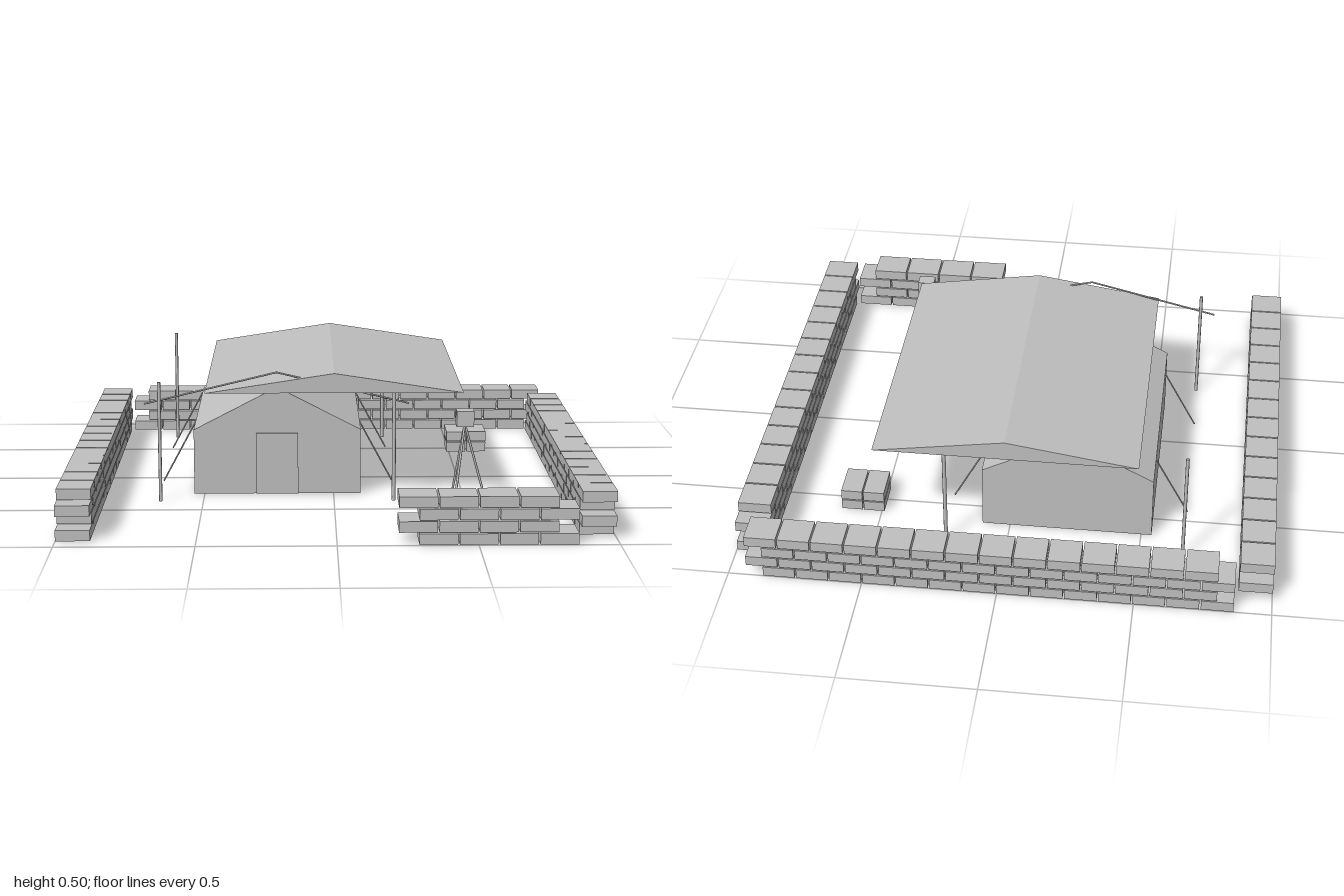
import * as THREE from 'three';

const grey = new THREE.MeshStandardMaterial({ color: 0xc0c0c0 });
grey.name = 'plain grey';

const V = (x, y, z) => new THREE.Vector3(x, y, z);

function add(parent, name, geometry) {
  const mesh = new THREE.Mesh(geometry, grey);
  mesh.name = name;
  parent.add(mesh);
  return mesh;
}

function box(parent, name, min, max) {
  const mesh = add(parent, name, new THREE.BoxGeometry(max[0] - min[0], max[1] - min[1], max[2] - min[2]));
  mesh.position.set((min[0] + max[0]) / 2, (min[1] + max[1]) / 2, (min[2] + max[2]) / 2);
}

// Closed prism: outline in x and y, running from z0 to z1
function prism(parent, name, outline, z0, z1) {
  const shape = new THREE.Shape(outline.map(([x, y]) => new THREE.Vector2(x, y)));
  const geometry = new THREE.ExtrudeGeometry(shape, { depth: z1 - z0, bevelEnabled: false });
  add(parent, name, geometry.translate(0, 0, z0));
}

// Straight round bar between two points
function rod(parent, name, a, b, radius) {
  const mesh = add(parent, name, new THREE.CylinderGeometry(radius, radius, a.distanceTo(b), 8));
  mesh.position.copy(a).lerp(b, 0.5);
  mesh.quaternion.setFromUnitVectors(V(0, 1, 0), b.clone().sub(a).normalize());
}

const ROW = 0.045, BRICK_HEIGHT = 0.04, GAP = 0.006;

// Four staggered courses; lower courses 0 and 2 start at evenStart, 1 and 3 at oddStart
function wall(parent, name, axis, evenStart, oddStart, count, pitch, side0, side1) {
  const group = new THREE.Group();
  group.name = name;
  for (let row = 0; row < 4; row++) {
    const start = row % 2 ? oddStart : evenStart;
    const y0 = row * ROW, y1 = y0 + BRICK_HEIGHT;
    for (let i = 0; i < count; i++) {
      const a = start + i * pitch, b = a + pitch - GAP;
      if (axis === 'x') box(group, 'brick', [a, y0, side0], [b, y1, side1]);
      else box(group, 'brick', [side0, y0, a], [side1, y1, b]);
    }
  }
  parent.add(group);
}

export function createModel() {
  const model = new THREE.Group();
  model.name = 'walledCamp';

  // Brick walls around the yard
  wall(model, 'rightSideWall', 'z', -0.87, -0.935, 14, 0.1289, -1, -0.876);
  wall(model, 'leftSideWall', 'z', -0.865, -0.803, 14, 0.1242, 0.872, 0.997);
  wall(model, 'backWall', 'x', -0.862, -0.8, 14, 0.124, -1, -0.878);
  wall(model, 'frontWall', 'x', 0.29, 0.218, 4, 0.1425, 0.872, 0.997);

  // Small pile of bricks
  const pile = new THREE.Group();
  pile.name = 'brickPile';
  for (let row = 0; row < 2; row++) {
    for (let i = 0; i < 2; i++) {
      const x = 0.49 + i * 0.085, y = row * ROW;
      box(pile, 'pileBrick', [x, y, -0.575], [x + 0.08, y + BRICK_HEIGHT, -0.435]);
    }
  }
  model.add(pile);

  // Tent with a door panel
  prism(model, 'tent', [[-0.54, 0], [0.105, 0], [0.105, 0.253], [-0.218, 0.42], [-0.54, 0.253]], -0.6, 0.26);
  box(model, 'tentDoor', [-0.3, 0, 0.26], [-0.137, 0.24, 0.267]);

  // Guy ropes, mirrored about the tent's middle
  for (const side of [-1, 1]) {
    for (const z of [-0.46, 0.112]) {
      rod(model, 'guyRope', V(-0.218 + side * 0.322, 0.253, z), V(-0.218 + side * 0.45, 0.015, z), 0.003);
    }
  }

  // Canopy roof, its posts and the bent ridge poles
  prism(model, 'canopy', [[-0.49, 0.425], [0.49, 0.425], [0, 0.5]], -0.75, 0.4);
  for (const z of [0.372, -0.72]) {
    rod(model, 'tallPost', V(-0.663, 0, z), V(-0.663, 0.463, z), 0.0065);
    rod(model, 'canopyPost', V(0.228, 0, z), V(0.228, 0.43, z), 0.0075);
  }
  for (const side of [-1, 1]) {
    rod(model, 'crossPole', V(-0.218, 0.5, 0.372), V(-0.218 + side * 0.502, 0.38, 0.372), 0.0035);
  }

  // Survey tripod
  const tripod = new THREE.Group();
  tripod.name = 'tripod';
  box(tripod, 'tripodHead', [0.454, 0.32, 0.475], [0.519, 0.38, 0.528]);
  for (let i = 0; i < 3; i++) {
    const angle = i * Math.PI * 2 / 3;
    const foot = V(0.487 + 0.09 * Math.cos(angle), 0, 0.487 + 0.09 * Math.sin(angle));
    rod(tripod, 'tripodLeg', V(0.487, 0.325, 0.49), foot, 0.0045);
  }
  model.add(tripod);

  return model;
}
